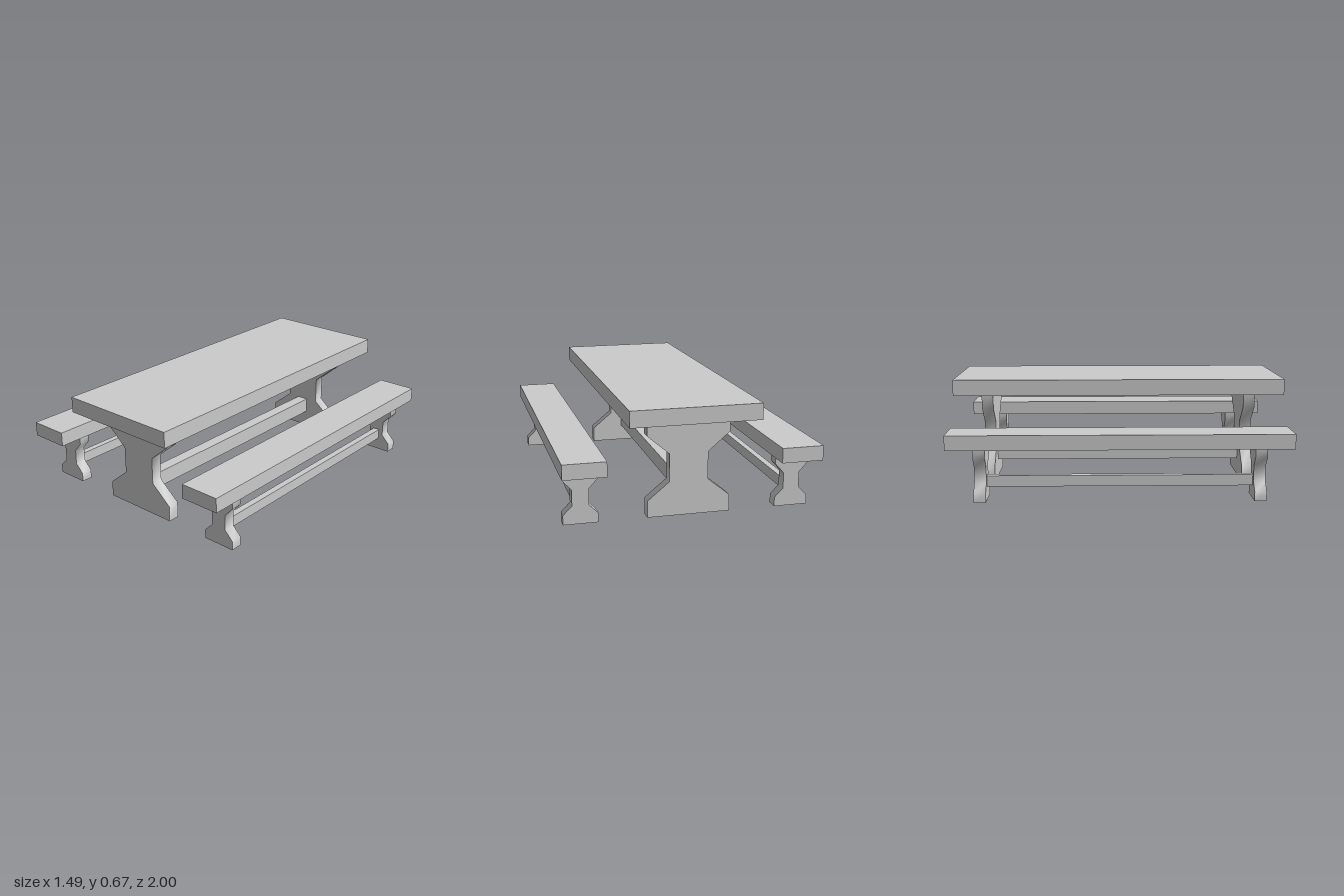
import * as THREE from 'three';
import { toCreasedNormals } from 'three/addons/utils/BufferGeometryUtils.js';

const material = new THREE.MeshStandardMaterial({ color: 0xcccccc });
const LEG_INNER = 0.775, LEG_DEPTH = 0.07;

// Box spanning y0..y1, centred on x = 0 and z = 0
function slab(name, width, y0, y1, length) {
  const mesh = new THREE.Mesh(new THREE.BoxGeometry(width, y1 - y0, length), material);
  mesh.name = name;
  mesh.position.y = (y0 + y1) / 2;
  return mesh;
}

// Waisted trestle leg: the half profile [x, y] is mirrored and extruded along z
function legGeometry(half) {
  const points = [...half, ...half.map(([x, y]) => [-x, y]).reverse()];
  const shape = new THREE.Shape(points.map(([x, y]) => new THREE.Vector2(x, y)));
  const geometry = new THREE.ExtrudeGeometry(shape, { depth: LEG_DEPTH, bevelEnabled: false });
  return toCreasedNormals(geometry, Math.PI / 3);
}

// Top, stretcher and a leg near each end
function trestle(name, { top, stretcher, leg }) {
  const group = new THREE.Group();
  group.name = name;
  group.add(slab(name + 'Top', top[0], top[1], top[2], 2));
  group.add(slab(name + 'Stretcher', stretcher[0], stretcher[1], stretcher[2], 2 * LEG_INNER));
  const geometry = legGeometry(leg);
  for (const [end, z] of [['Front', LEG_INNER], ['Back', -LEG_INNER - LEG_DEPTH]]) {
    const mesh = new THREE.Mesh(geometry, material);
    mesh.name = name + end + 'Leg';
    mesh.position.z = z;
    group.add(mesh);
  }
  return group;
}

export function createModel() {
  const model = new THREE.Group();
  model.name = 'picnicTable';

  // Table
  model.add(trestle('table', {
    top: [0.752, 0.57, 0.665],
    stretcher: [0.075, 0.105, 0.2],
    leg: [[0.242, 0], [0.242, 0.097], [0.113, 0.203], [0.113, 0.365], [0.242, 0.475], [0.242, 0.57]],
  }));

  // Benches on both sides
  for (const [name, side] of [['leftBench', 1], ['rightBench', -1]]) {
    const bench = trestle(name, {
      top: [0.245, 0.31, 0.397],
      stretcher: [0.04, 0.075, 0.14],
      leg: [[0.1, 0], [0.1, 0.055], [0.048, 0.107], [0.048, 0.2], [0.1, 0.258], [0.1, 0.31]],
    });
    bench.position.x = side * 0.621;
    model.add(bench);
  }
  return model;
}
